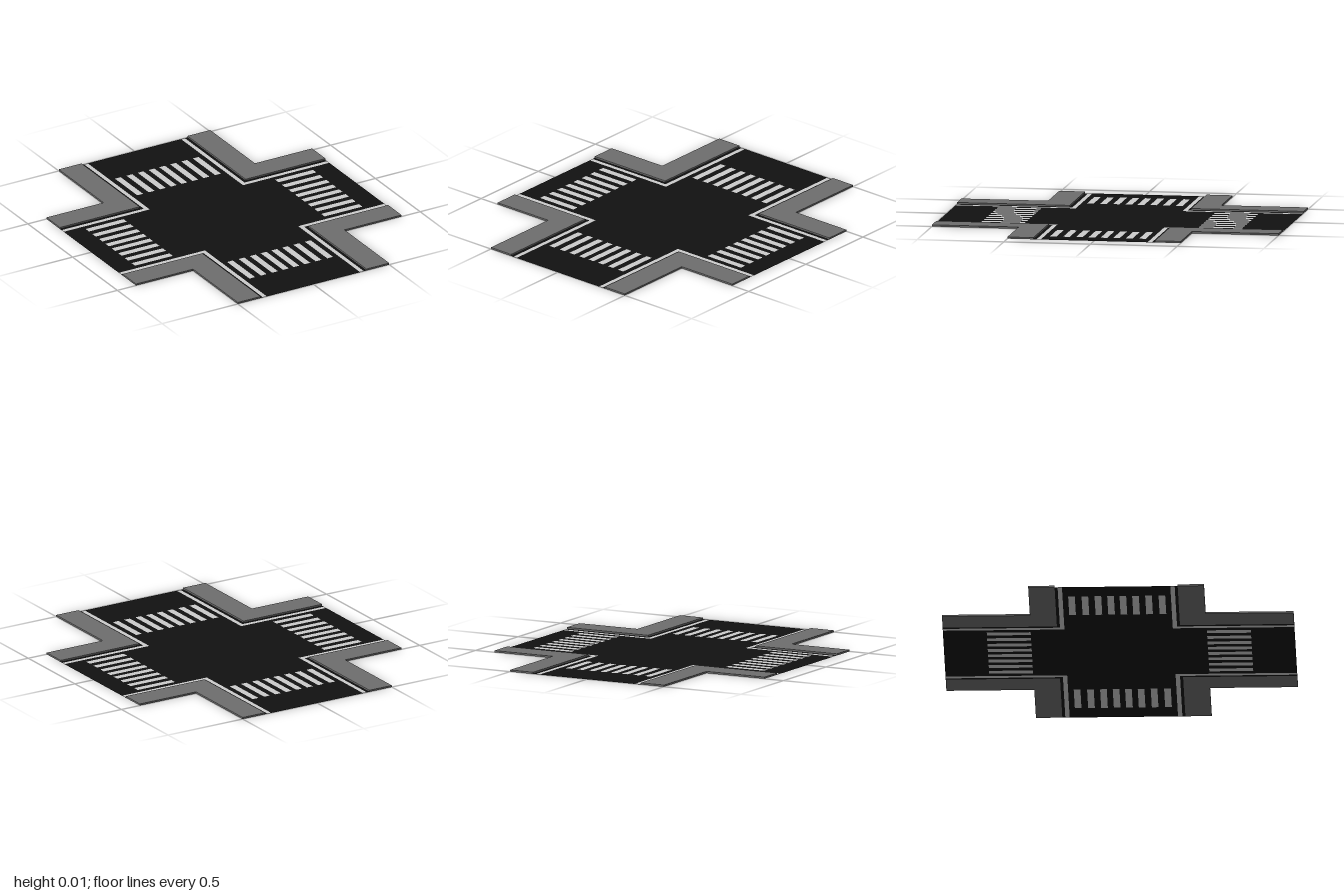
import * as THREE from 'three';

const END_X = 0.877, END_Z = 1, CURB = 0.01;
const LINE_IN = 0.308, LINE_OUT = 0.333, KERB_IN = 0.35, KERB_OUT = 0.5;
const STRIPES = [-0.257, -0.181, -0.107, -0.035, 0.035, 0.107, 0.181, 0.257];
const STRIPE_W = 0.038;

const paint = (color) => new THREE.MeshStandardMaterial({ color, side: THREE.DoubleSide });

const outline = (points) => points.map(([x, y]) => new THREE.Vector2(x, y));

// Rectangle given by centre and size
const rect = (x, y, w, h) => outline([
  [x - w / 2, y - h / 2], [x + w / 2, y - h / 2],
  [x + w / 2, y + h / 2], [x - w / 2, y + h / 2],
]);

// L-shaped band between offsets a and b, in the corner given by the signs
const corner = (a, b, sx, sy) => new THREE.Shape(outline([
  [a, a], [END_X, a], [END_X, b], [b, b], [b, END_Z], [a, END_Z],
].map(([x, y]) => [x * sx, y * sy])));

export function createModel() {
  const model = new THREE.Group();
  model.name = 'crossroads';
  const asphalt = paint(0x111111);
  const white = paint(0xcccccc);
  const stone = paint(0x6e6e6e);

  const add = (name, geometry, material) => {
    geometry.rotateX(-Math.PI / 2);
    const mesh = new THREE.Mesh(geometry, material);
    mesh.name = name;
    model.add(mesh);
  };

  // Zebra crossings, one on each arm
  const stripes = [];
  for (const side of [-1, 1]) {
    for (const c of STRIPES) {
      stripes.push(rect(c, side * 0.626, STRIPE_W, 0.25));
      stripes.push(rect(side * 0.626, c, 0.25, STRIPE_W));
    }
  }
  add('crossingStripes', new THREE.ShapeGeometry(stripes.map((p) => new THREE.Shape(p))), white);

  // Cross-shaped carriageway with the stripes let into it
  const a = LINE_IN;
  const road = new THREE.Shape(outline([
    [a, a], [a, END_Z], [-a, END_Z], [-a, a], [-END_X, a], [-END_X, -a],
    [-a, -a], [-a, -END_Z], [a, -END_Z], [a, -a], [END_X, -a], [END_X, a],
  ]));
  road.holes = stripes.map((p) => new THREE.Path(p));
  add('road', new THREE.ShapeGeometry(road), asphalt);

  // Edge line, gutter and raised pavement in every corner
  for (const sx of [-1, 1]) {
    for (const sy of [-1, 1]) {
      add('edgeLine', new THREE.ShapeGeometry(corner(LINE_IN, LINE_OUT, sx, sy)), white);
      add('gutter', new THREE.ShapeGeometry(corner(LINE_OUT, KERB_IN, sx, sy)), asphalt);
      add('pavement', new THREE.ExtrudeGeometry(corner(KERB_IN, KERB_OUT, sx, sy),
        { depth: CURB, bevelEnabled: false }), stone);
    }
  }
  return model;
}
